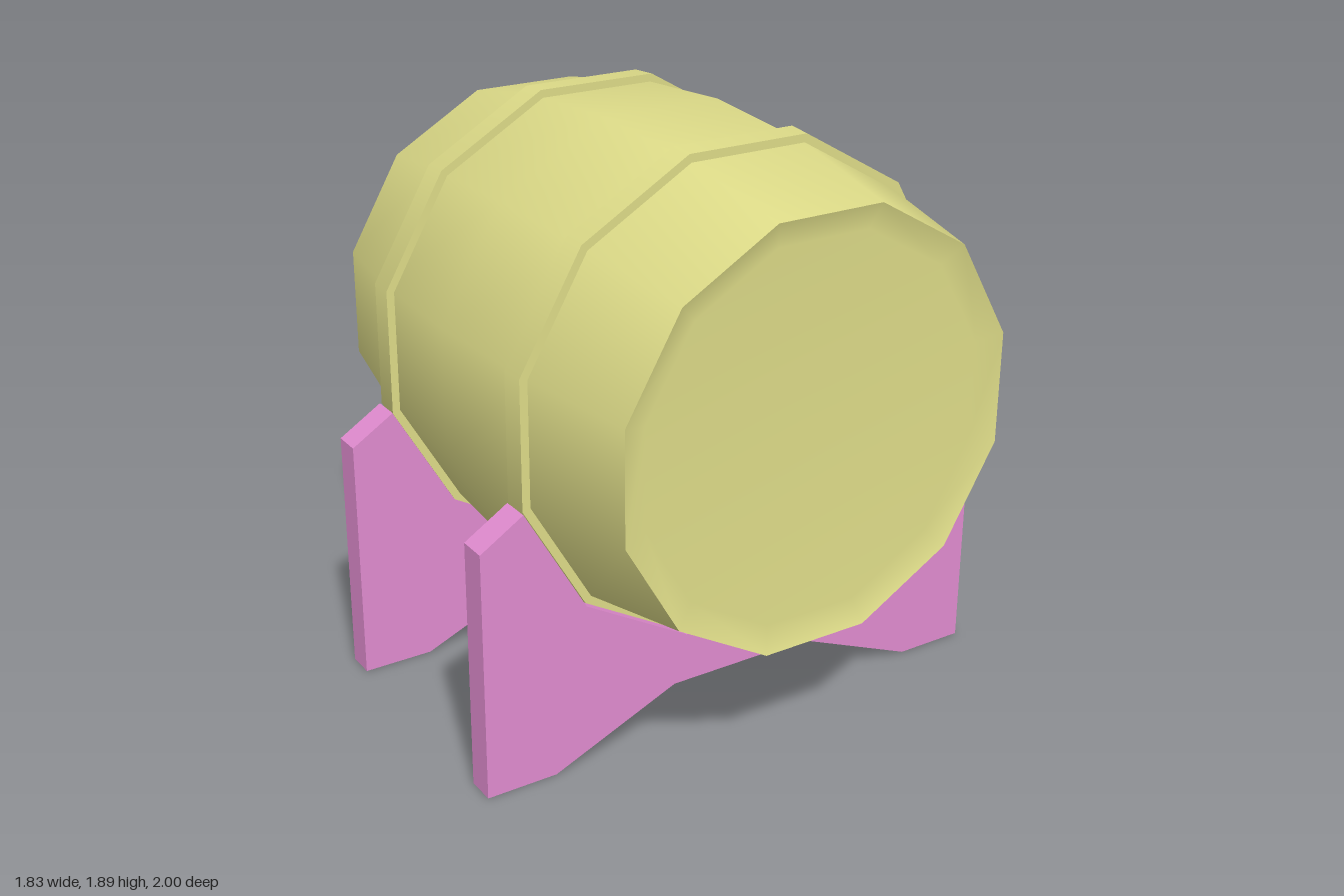
import * as THREE from 'three';

const SIDES = 12;
const K = 1 / Math.cos(Math.PI / SIDES); // flat-to-flat radius -> corner radius
const AXIS_Y = 1.117;

const wood = new THREE.MeshStandardMaterial({ color: 0xdddb88 });
const pink = new THREE.MeshStandardMaterial({ color: 0xe08bcf });
const red = new THREE.MeshStandardMaterial({ color: 0xdd1111 });
const green = new THREE.MeshStandardMaterial({ color: 0x94d494 });

function add(parent, name, geometry, material, x = 0, y = 0, z = 0) {
  const mesh = new THREE.Mesh(geometry, material);
  mesh.name = name;
  mesh.position.set(x, y, z);
  parent.add(mesh);
  return mesh;
}

// Twelve-sided turning along z; profile is [flat radius, z]; a repeated point makes a sharp edge
function turned(profile) {
  const pts = profile.map(([r, z]) => new THREE.Vector2(r * K, z));
  return new THREE.LatheGeometry(pts, SIDES, Math.PI / SIDES).rotateX(Math.PI / 2);
}

const polygon = (pts) => pts.map(([x, y]) => new THREE.Vector2(x, y));

// Raised planks of the back end: a disc with the sunken planks cut out
function plankPanel() {
  const R = 0.585 * K;
  const outline = [];
  for (let i = 0; i < SIDES; i++) {
    const a = ((i + 0.5) / SIDES) * Math.PI * 2;
    outline.push([R * Math.cos(a), R * Math.sin(a)]);
  }
  const shape = new THREE.Shape(polygon(outline));
  const holes = [[[-0.147, -0.575], [0.147, -0.575], [0.147, 0.575], [-0.147, 0.575]]];
  for (const s of [-1, 1]) {
    holes.push([[s * 0.445, -0.38], [s * 0.575, -0.155], [s * 0.575, 0.155], [s * 0.445, 0.38]]);
  }
  for (const h of holes) shape.holes.push(new THREE.Path(polygon(h)));
  return new THREE.ExtrudeGeometry(shape, { depth: 0.04, bevelEnabled: false });
}

// Cradle board cut to the underside of the hoop
function cradle(depth) {
  const half = [[0.25, 0.18], [0.68, 0], [0.917, 0], [0.917, 0.82], [0.773, 0.91], [0.566, 0.551], [0.207, 0.344]];
  const mirrored = half.map(([x, y]) => [-x, y]).reverse();
  const shape = new THREE.Shape(polygon([...half, ...mirrored]));
  return new THREE.ExtrudeGeometry(shape, { depth, bevelEnabled: false });
}

export function createModel() {
  const model = new THREE.Group();
  model.name = 'barrelOnStand';

  // Barrel: sunken back, bevelled rims, bulging staves, dished front
  const barrel = new THREE.Group();
  barrel.name = 'barrel';
  barrel.position.y = AXIS_Y;
  model.add(barrel);
  add(barrel, 'barrelBody', turned([
    [0, -0.655], [0.585, -0.655], [0.585, -0.655],
    [0.585, -0.695], [0.585, -0.695], [0.667, -0.725], [0.667, -0.725],
    [0.742, -0.33], [0.772, 0.14], [0.742, 0.605],
    [0.667, 1], [0.667, 1], [0.585, 0.97], [0, 0.97],
  ]), wood);
  add(barrel, 'backPlanks', plankPanel(), wood, 0, 0, -0.695);

  // Hoops, slightly tapered toward the ends
  const hoop = (zBack, zFront, rBack, rFront) => turned([
    [0.73, zBack], [rBack, zBack], [rBack, zBack],
    [rFront, zFront], [rFront, zFront], [0.73, zFront],
  ]);
  add(barrel, 'frontHoop', hoop(0.531, 0.606, 0.774, 0.768), wood);
  add(barrel, 'backHoop', hoop(-0.332, -0.236, 0.768, 0.774), wood);

  // Stand
  add(model, 'frontCradle', cradle(0.095), pink, 0, 0, 0.525);
  add(model, 'backCradle', cradle(0.095), pink, 0, 0, -0.335);

  // Tap at the back
  const tap = new THREE.Group();
  tap.name = 'tap';
  model.add(tap);
  const flare = [[0, -0.03], [0.06, -0.03], [0.06, 0], [0.052, 0.022], [0.038, 0.045], [0.027, 0.07]];
  const flareMesh = add(tap, 'tapFlange', new THREE.LatheGeometry(polygon(flare), 20), red, 0, 0.7, -0.68);
  flareMesh.rotation.x = -Math.PI / 2;

  const path = new THREE.CurvePath();
  const v = (y, z) => new THREE.Vector3(0, y, z);
  path.add(new THREE.LineCurve3(v(0.7, -0.68), v(0.7, -0.82)));
  path.add(new THREE.CubicBezierCurve3(v(0.7, -0.82), v(0.7, -0.9), v(0.64, -0.96), v(0.56, -0.96)));
  path.add(new THREE.LineCurve3(v(0.56, -0.96), v(0.52, -0.96)));
  add(tap, 'spout', new THREE.TubeGeometry(path, 32, 0.027, 16), red);
  add(tap, 'spoutLip', new THREE.CylinderGeometry(0.04, 0.04, 0.018, 20), red, 0, 0.524, -0.96);

  // Valve and its cross handle
  add(tap, 'valveBody', new THREE.CylinderGeometry(0.031, 0.031, 0.12, 16), green, 0, 0.7, -0.768);
  add(tap, 'valveStem', new THREE.CylinderGeometry(0.011, 0.011, 0.08, 12), green, 0, 0.79, -0.768);
  const handle = add(tap, 'valveHandle', new THREE.CylinderGeometry(0.011, 0.011, 0.124, 12), green, 0, 0.829, -0.768);
  handle.rotation.z = Math.PI / 2;

  return model;
}
